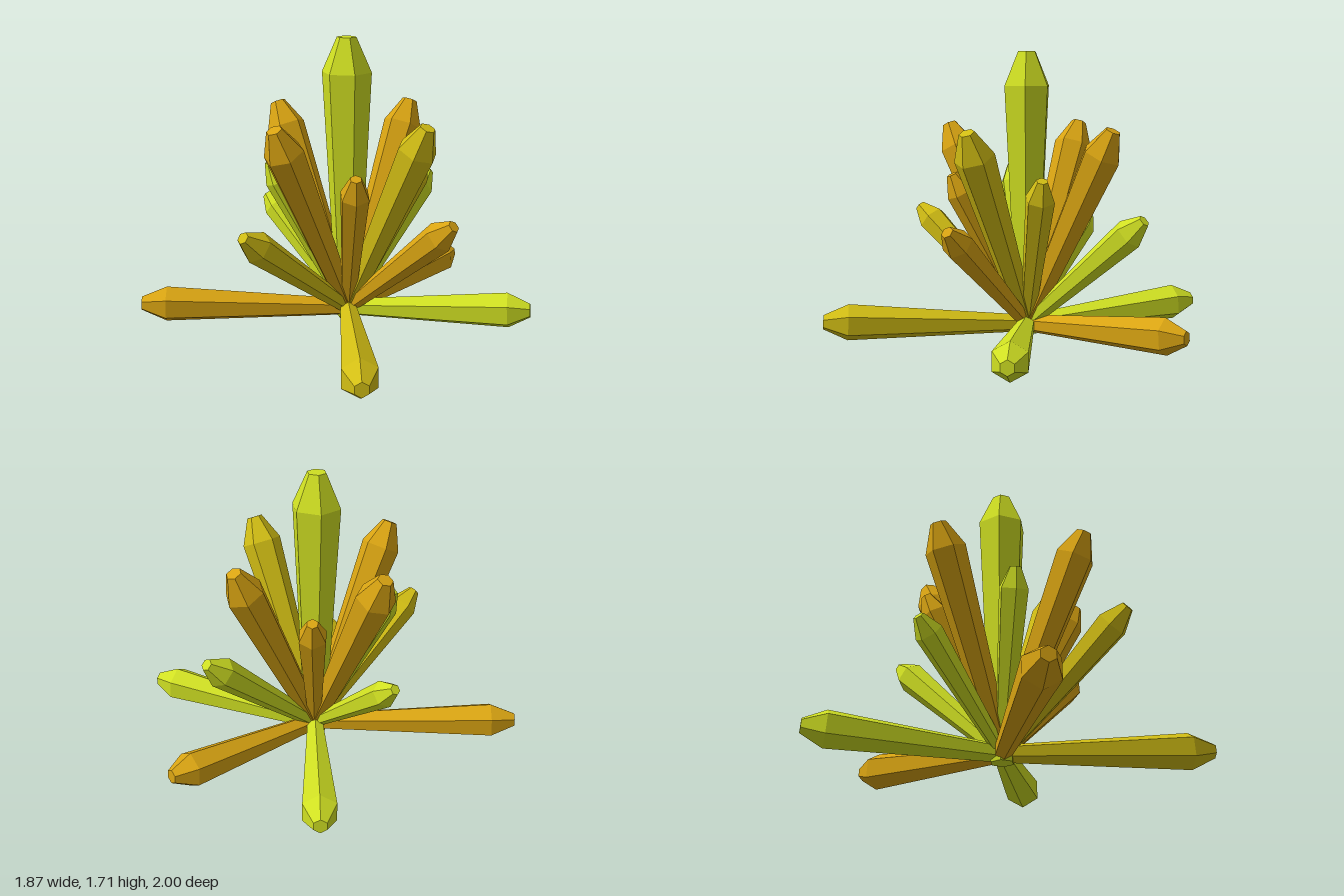
import * as THREE from 'three';

const ORANGE = 0xd9a412, YELLOW = 0xd2be14, LIME = 0xcfdf22;
const ROOT = new THREE.Vector3(-0.055, 0.055, 0.07);

// Six-sided crystal from base to tip: widens to a shoulder, then narrows to a flat cap
function crystal(name, color, radius, tip, base = ROOT) {
  const axis = new THREE.Vector3(...tip).sub(base);
  const length = axis.length();
  const profile = [[0, 0], [0.47 * radius, 0], [radius, 0.882 * length], [0.39 * radius, length], [0, length]]
    .map(([r, y]) => new THREE.Vector2(r, y));
  const geometry = new THREE.LatheGeometry(profile, 6);
  // Tilt away from upright, then turn, so one edge stays uppermost
  geometry.rotateX(Math.atan2(Math.hypot(axis.x, axis.z), axis.y));
  geometry.rotateY(Math.atan2(axis.x, axis.z));
  const mesh = new THREE.Mesh(geometry, new THREE.MeshStandardMaterial({ color, flatShading: true }));
  mesh.name = name;
  mesh.position.copy(base);
  return mesh;
}

export function createModel() {
  const group = new THREE.Group();
  group.name = 'crystalCluster';

  // Upright centre crystal
  group.add(crystal('centreCrystal', LIME, 0.147, [-0.055, 1.71, 0.07], new THREE.Vector3(-0.055, 0, 0.07)));

  const rings = [
    // Steep tall crystals
    ['tallCrystal', 0.118, [
      [ORANGE, -0.64, 1.262, 0.06], [YELLOW, 0.535, 1.262, 0.07],
      [ORANGE, -0.055, 1.262, 0.66], [ORANGE, -0.055, 1.262, -0.52]]],
    // Steep medium crystals on the diagonals
    ['mediumCrystal', 0.088, [
      [LIME, -0.368, 0.99, 0.397], [ORANGE, 0.283, 0.99, 0.376],
      [ORANGE, -0.384, 0.99, -0.235], [YELLOW, 0.265, 0.99, -0.25]]],
    // Low leaning crystals
    ['leaningCrystal', 0.092, [
      [YELLOW, -0.055, 0.714, 0.91], [ORANGE, 0.722, 0.737, 0.065],
      [LIME, -0.055, 0.765, -0.725]]],
    ['smallLeaningCrystal', 0.08, [[LIME, -0.765, 0.636, 0.05]]],
    // Crystals lying on the ground
    ['lyingCrystal', 0.11, [
      [ORANGE, -0.913, 0.125, 0.968], [YELLOW, 0.812, 0.125, 0.937],
      [LIME, -0.918, 0.125, -0.624], [LIME, 0.913, 0.125, -0.466],
      [ORANGE, -0.055, 0.13, -1.0]]],
  ];
  for (const [name, radius, list] of rings) {
    list.forEach(([color, ...tip], i) => group.add(crystal(`${name}${i + 1}`, color, radius, tip)));
  }
  return group;
}
